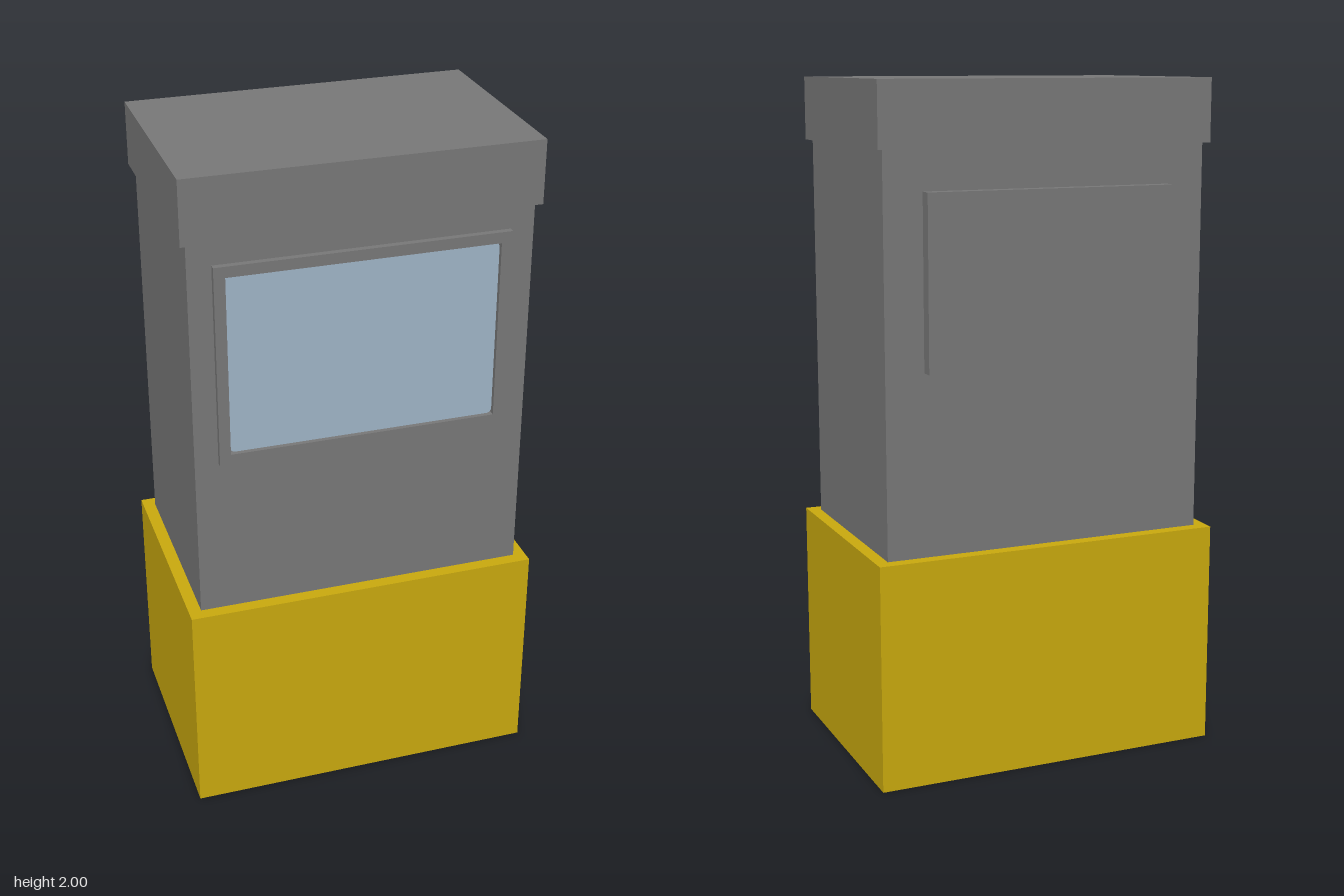
import * as THREE from 'three';

const grey = new THREE.MeshStandardMaterial({ name: 'grey metal', color: 0x787878 });
const yellow = new THREE.MeshStandardMaterial({ name: 'yellow paint', color: 0xc9a90e });
const blue = new THREE.MeshStandardMaterial({ name: 'pale blue screen', color: 0x9fb4c6 });

// Box given by half width, y range and z range
function block(name, halfX, y0, y1, z0, z1, material) {
  const mesh = new THREE.Mesh(new THREE.BoxGeometry(2 * halfX, y1 - y0, z1 - z0), material);
  mesh.name = name;
  mesh.position.set(0, (y0 + y1) / 2, (z0 + z1) / 2);
  return mesh;
}

// Rectangle outline centred on the origin
function rectangle(target, w, h) {
  target.moveTo(-w, -h);
  target.lineTo(w, -h);
  target.lineTo(w, h);
  target.lineTo(-w, h);
  target.closePath();
  return target;
}

// Rectangle with rounded corners
function roundedRectangle(w, h, r) {
  const s = new THREE.Shape();
  s.absarc(w - r, h - r, r, 0, Math.PI / 2);
  s.absarc(-w + r, h - r, r, Math.PI / 2, Math.PI);
  s.absarc(-w + r, -h + r, r, Math.PI, Math.PI * 1.5);
  s.absarc(w - r, -h + r, r, Math.PI * 1.5, Math.PI * 2);
  s.closePath();
  return s;
}

function plate(name, shape, depth, material) {
  const geometry = new THREE.ExtrudeGeometry(shape, { depth, bevelEnabled: false, curveSegments: 5 });
  const mesh = new THREE.Mesh(geometry, material);
  mesh.name = name;
  mesh.position.set(0, 1.45, 0.31);
  return mesh;
}

export function createModel() {
  const model = new THREE.Group();
  model.name = 'kiosk';

  // Cabinet: base, body and overhanging cap
  model.add(block('base', 0.527, 0, 0.67, -0.348, 0.348, yellow));
  model.add(block('body', 0.49, 0.67, 1.815, -0.31, 0.31, grey));
  model.add(block('cap', 0.507, 1.815, 2, -0.326, 0.326, grey));

  // Access panel on the back
  model.add(block('backPanel', 0.375, 1.2, 1.7, -0.348, -0.31, grey));

  // Raised frame around the recessed screen
  const frame = rectangle(new THREE.Shape(), 0.422, 0.298);
  frame.holes.push(rectangle(new THREE.Path(), 0.39, 0.266));
  model.add(plate('screenFrame', frame, 0.018, grey));
  model.add(plate('screen', roundedRectangle(0.389, 0.265, 0.015), 0.006, blue));

  return model;
}
